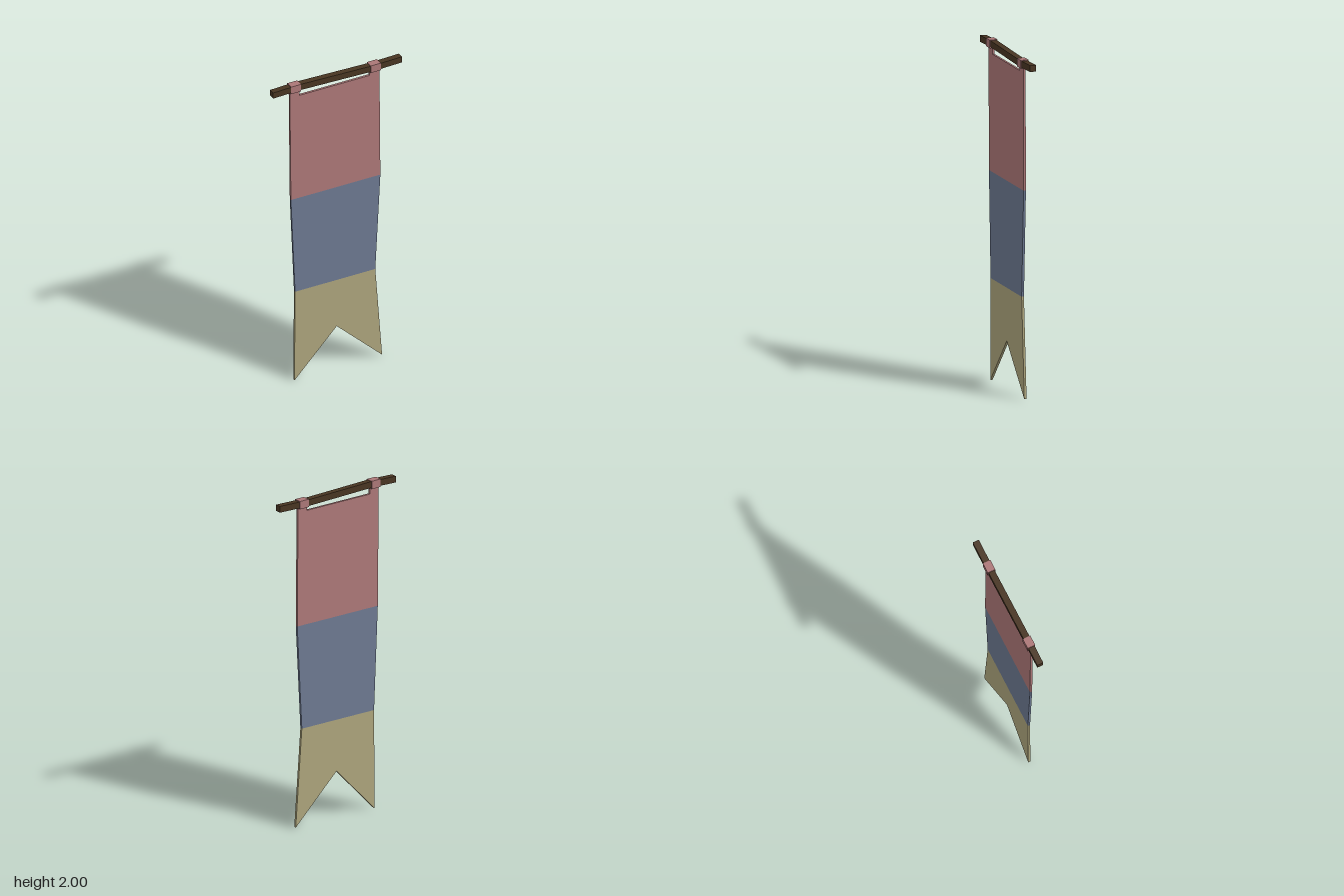
import * as THREE from 'three';

const material = (name, color) => {
  const m = new THREE.MeshStandardMaterial({ color, flatShading: true });
  m.name = name;
  return m;
};

export function createModel() {
  const group = new THREE.Group();
  group.name = 'hangingBanner';

  const red = material('faded red cloth', 0xab7777);
  const blue = material('slate blue cloth', 0x6c7890);
  const yellow = material('straw yellow cloth', 0xaba37b);
  const wood = material('dark wood', 0x483522);

  const add = (name, geometry, mat, x = 0, y = 0, z = 0) => {
    const mesh = new THREE.Mesh(geometry, mat);
    mesh.name = name;
    mesh.position.set(x, y, z);
    group.add(mesh);
    return mesh;
  };

  // Cloth panels: flat outlines with a thin, even thickness
  const thickness = 0.014;
  const panel = (name, outline, mat) => {
    const shape = new THREE.Shape(outline.map(([x, y]) => new THREE.Vector2(x, y)));
    const geometry = new THREE.ExtrudeGeometry(shape, { depth: thickness, bevelEnabled: false });
    add(name, geometry, mat, 0, 0, -thickness / 2);
  };

  // Upper panel with the two hanging straps
  panel('upperCloth', [
    [-0.297, 1.226], [0.283, 1.226], [0.277, 1.96], [0.213, 1.96],
    [0.213, 1.917], [-0.24, 1.917], [-0.24, 1.965], [-0.304, 1.965],
  ], red);
  panel('middleCloth', [[-0.27, 0.598], [0.25, 0.598], [0.283, 1.226], [-0.297, 1.226]], blue);
  // Lower panel with its swallowtail notch
  panel('lowerCloth', [[-0.274, 0], [0, 0.286], [0.294, 0.006], [0.25, 0.598], [-0.27, 0.598]], yellow);

  // Slightly crooked square pole
  const bends = [[-0.418, 1.972], [-0.25, 1.978], [0.235, 1.965], [0.417, 1.97]];
  const pole = new THREE.BoxGeometry(3, 0.038, 0.038, 3, 1, 1);
  const p = pole.attributes.position;
  for (let i = 0; i < p.count; i++) {
    const [x, y] = bends[Math.round(p.getX(i) + 1.5)];
    p.setXY(i, x, p.getY(i) + y);
  }
  pole.computeVertexNormals();
  add('pole', pole, wood, 0, 0, -0.001);

  // Cloth loops around the pole
  for (const [name, x, y] of [['rightLoop', -0.272, 1.976], ['leftLoop', 0.245, 1.966]]) {
    add(name, new THREE.BoxGeometry(0.064, 0.048, 0.048), red, x, y, -0.001);
  }

  return group;
}
